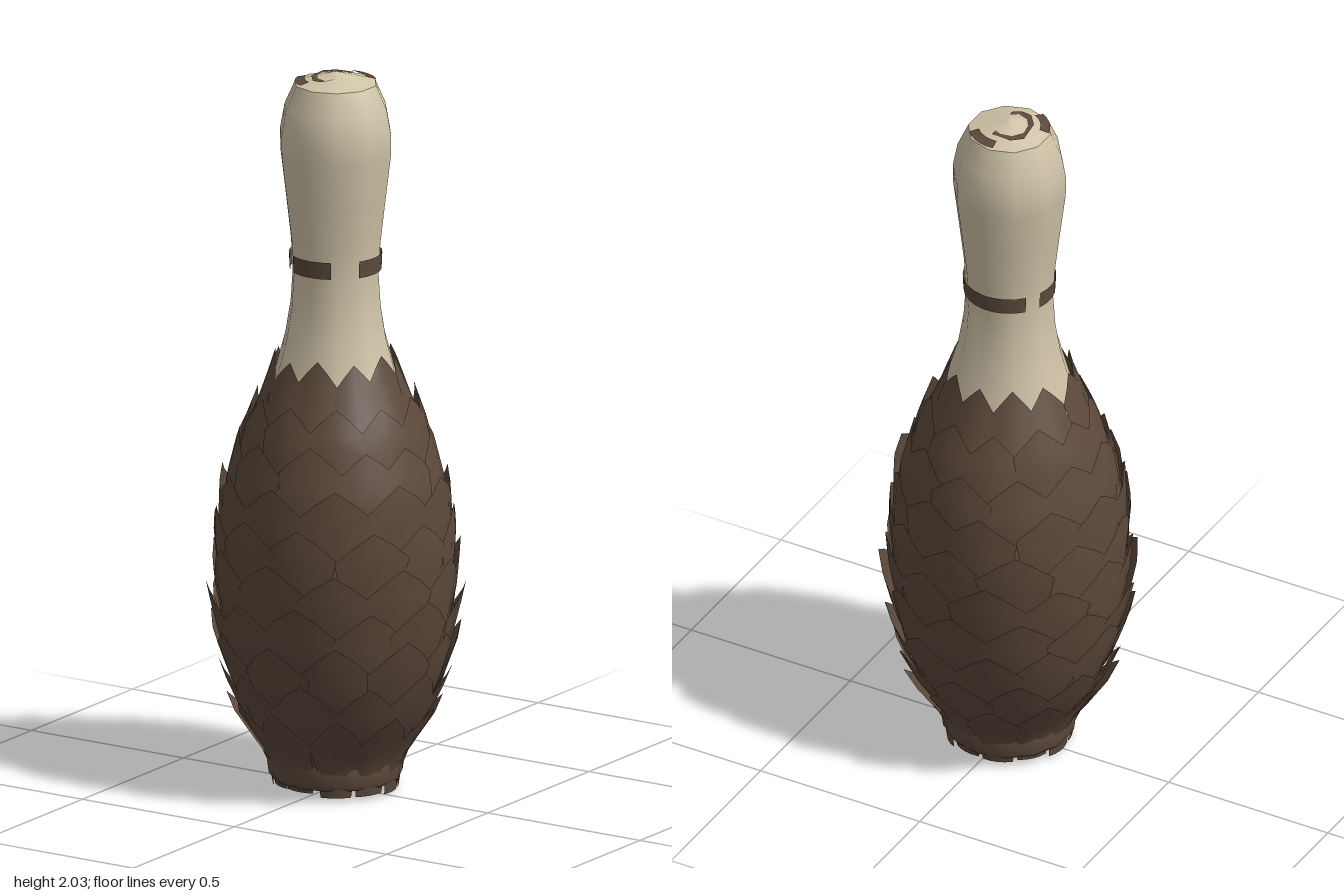
import * as THREE from 'three';

const cream = new THREE.MeshStandardMaterial({ color: 0xd0c4a8 });
cream.name = 'cream';
const brown = new THREE.MeshStandardMaterial({ color: 0x5e4a3c, side: THREE.DoubleSide });
brown.name = 'bark brown';

// Radius of the scaly body at a given height
const BODY = [[0.05, 0.185], [0.1, 0.21], [0.2, 0.265], [0.3, 0.3], [0.4, 0.322], [0.55, 0.335],
  [0.7, 0.332], [0.85, 0.308], [1.0, 0.257], [1.1, 0.208], [1.2, 0.16], [1.3, 0.133]];
function bodyRadius(y) {
  for (let i = 1; i < BODY.length; i++) {
    const [y0, r0] = BODY[i - 1], [y1, r1] = BODY[i];
    if (y <= y1) return r0 + (r1 - r0) * Math.max(0, (y - y0) / (y1 - y0));
  }
  return BODY[BODY.length - 1][1];
}

let seed = 7;
function jitter(amount) {
  seed = (seed * 16807) % 2147483647;
  return (seed / 2147483647 * 2 - 1) * amount;
}

const deg = Math.PI / 180;

function lathe(name, points, material, sides = 10, start = 0, sweep = 360) {
  const profile = points.map(([r, y]) => new THREE.Vector2(r, y));
  const mesh = new THREE.Mesh(new THREE.LatheGeometry(profile, sides, start * deg, sweep * deg), material);
  mesh.name = name;
  return mesh;
}

// One pointed scale wrapped onto the body, its tip lifted outward
function scale(azimuth, y0, height, halfAngle, lift) {
  const geometry = new THREE.PlaneGeometry(2, 1, 4, 4);
  const p = geometry.attributes.position;
  const lean = jitter(0.02);
  for (let i = 0; i < p.count; i++) {
    const u = p.getX(i), v = p.getY(i) + 0.5;
    const shoulder = 0.62;
    // the upper edge falls away from the tip to the sides
    const top = 1 - (1 - shoulder) * Math.pow(Math.abs(u), 1.2);
    const t = v * top;
    const y = y0 + height * t;
    const a = azimuth + u * halfAngle * (0.75 + 0.25 * v) + lean * v;
    const r = bodyRadius(y) - 0.012 + lift * t - 0.004 * u * u;
    p.setXYZ(i, r * Math.sin(a), y, r * Math.cos(a));
  }
  geometry.computeVertexNormals();
  return new THREE.Mesh(geometry, brown);
}

// Flat painted patch lying on the sloping crown
function crownPatch(outline) {
  const shape = new THREE.Shape(outline.map(([x, z]) => new THREE.Vector2(x, -z)));
  const geometry = new THREE.ShapeGeometry(shape);
  geometry.rotateX(-Math.PI / 2);
  const p = geometry.attributes.position;
  for (let i = 0; i < p.count; i++) {
    p.setY(i, 2 - 0.25 * Math.hypot(p.getX(i), p.getZ(i)) + 0.003);
  }
  geometry.computeVertexNormals();
  const mesh = new THREE.Mesh(geometry, brown);
  mesh.name = 'crownPatch';
  return mesh;
}

// Outline of a curved patch between two radii
function arcOutline(r0, r1, from, to, steps = 5) {
  const outer = [], inner = [];
  for (let i = 0; i <= steps; i++) {
    const a = (from + (to - from) * i / steps) * deg;
    outer.push([r1 * Math.sin(a), r1 * Math.cos(a)]);
    inner.unshift([r0 * Math.sin(a), r0 * Math.cos(a)]);
  }
  return outer.concat(inner);
}

export function createModel() {
  const model = new THREE.Group();
  model.name = 'scalyPin';

  // Core under the scales
  const core = BODY.filter(([y]) => y < 1.15).map(([y, r]) => [r - 0.012, y]);
  model.add(lathe('bodyCore', core, brown, 22));

  // Smooth neck, head and low crown
  model.add(lathe('neck', [[0.19, 1.08], [0.165, 1.17], [0.143, 1.25], [0.128, 1.34], [0.122, 1.43],
    [0.127, 1.52], [0.141, 1.64], [0.157, 1.77], [0.158, 1.83], [0.145, 1.9], [0.115, 1.968]], cream));
  model.add(lathe('crown', [[0.115, 1.968], [0.06, 1.984], [0, 2]], cream));

  // Broken band around the neck: start angle and sweep
  for (const [start, sweep] of [[-32, 60], [64, 166], [250, 65]]) {
    model.add(lathe('neckBand', [[0.126, 1.442], [0.128, 1.49]], brown, Math.ceil(sweep / 15), start, sweep));
  }

  // Painted patches on the crown
  model.add(crownPatch([[-0.068, -0.04], [-0.04, -0.066], [0.018, -0.066], [0.02, 0.05],
    [0, 0.07], [-0.03, 0.068], [-0.06, 0.03]]));
  model.add(crownPatch(arcOutline(0.085, 0.112, 284, 334)));
  model.add(crownPatch(arcOutline(0.085, 0.112, 130, 185)));

  // Overlapping rows of scales, staggered by half a step
  const scales = new THREE.Group();
  scales.name = 'scales';
  const rows = 10, perRow = 11;
  for (let row = 0; row < rows; row++) {
    const k = row / (rows - 1);
    const tip = 0.23 + 0.98 * k;
    const height = 0.25 - 0.07 * k;
    const lift = 0.034 - 0.016 * k;
    for (let i = 0; i < perRow; i++) {
      const azimuth = (i + 0.5 * (row % 2)) / perRow * Math.PI * 2 + jitter(0.04);
      const piece = scale(azimuth, tip - height + jitter(0.012), height, Math.PI / perRow * 1.16, lift + jitter(0.008));
      piece.name = 'scale';
      scales.add(piece);
    }
  }
  model.add(scales);

  // Hollow foot ring with a pale recessed underside
  model.add(lathe('footRing', [[0.13, 0.06], [0.13, 0.012], [0.145, 0], [0.175, 0], [0.184, 0.012],
    [0.19, 0.06], [0.18, 0.075]], brown, 14));
  model.add(lathe('underside', [[0, 0.045], [0.135, 0.045]], cream, 14));

  return model;
}
